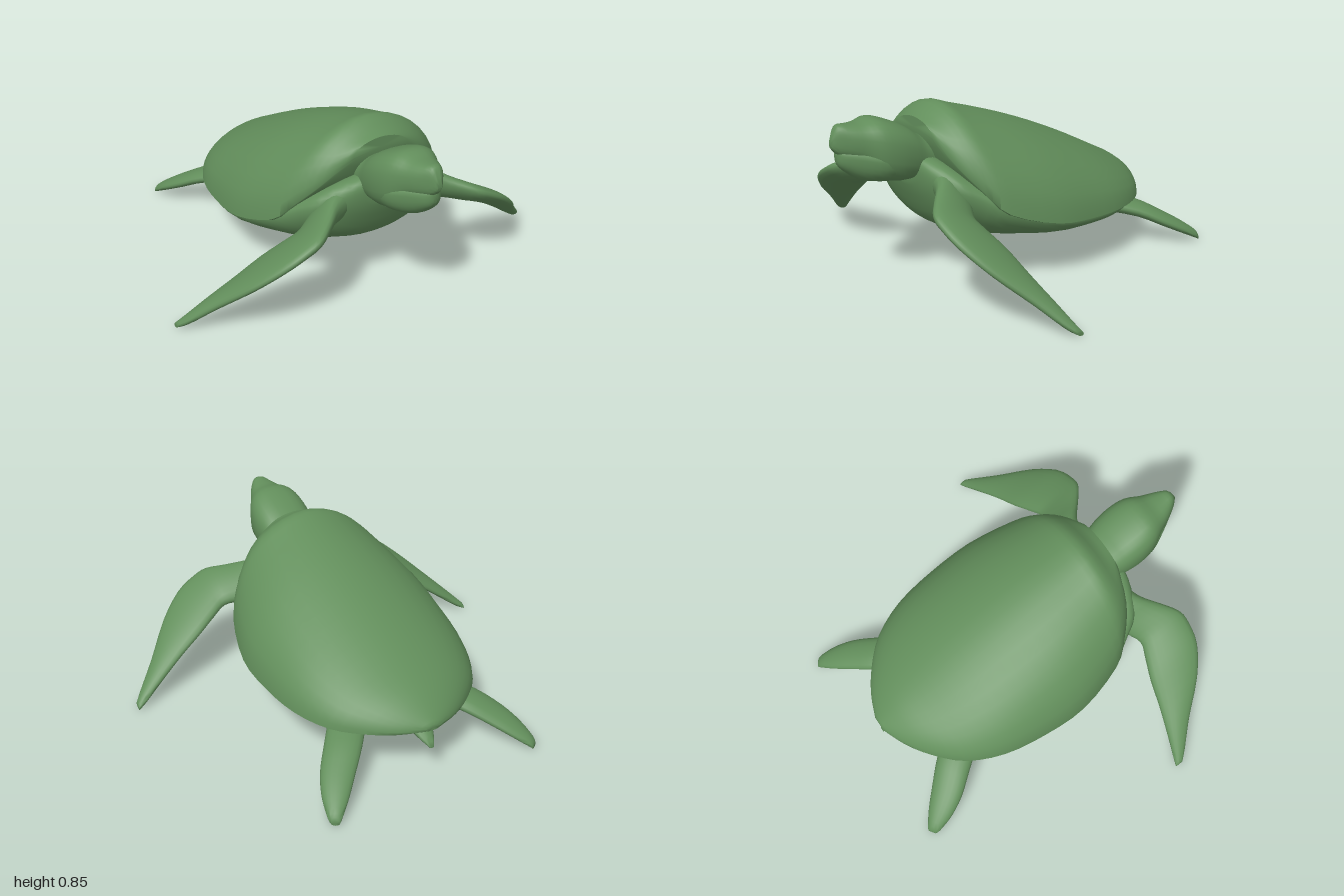
import * as THREE from 'three';
import { toCreasedNormals } from 'three/addons/utils/BufferGeometryUtils.js';

const skin = new THREE.MeshStandardMaterial({ color: 0x628e5b });
skin.name = 'sea green';

// Splines extra sections between the given rows
function refine(rows, steps) {
  const out = [];
  const at = (i) => rows[Math.min(Math.max(i, 0), rows.length - 1)];
  for (let i = 0; i < rows.length - 1; i++) {
    for (let s = 0; s < steps; s++) {
      const t = s / steps;
      out.push(rows[i].map((p1, k) => {
        const p0 = at(i - 1)[k], p2 = at(i + 1)[k], p3 = at(i + 2)[k];
        return p1 + 0.5 * t * (p2 - p0 + t * (2 * p0 - 5 * p1 + 4 * p2 - p3 + t * (3 * (p1 - p2) + p3 - p0)));
      }));
    }
  }
  out.push(rows[rows.length - 1]);
  return out;
}

// Closed skin over cross-sections; a row is [x, y, z, half width, height above, depth below]
function loft(name, rows, { side = [1, 0, 0], power = 1, crease = 1.0, mirror = 1, n = 28 } = {}) {
  const sections = refine(rows, 3);
  const pos = [], idx = [];
  const tri = (a, b, c) => (mirror > 0 ? idx.push(a, b, c) : idx.push(a, c, b));
  const bend = (v) => Math.sign(v) * Math.pow(Math.abs(v), power);
  for (const [x, y, z, w, up, down] of sections) {
    for (let j = 0; j < n; j++) {
      const t = (j / n) * Math.PI * 2;
      const c = bend(Math.cos(t)) * w;
      const s = j % (n / 2) === 0 ? 0 : bend(Math.sin(t));
      pos.push(mirror * (x + c * side[0]), y + c * side[1] + s * (s > 0 ? up : down), z + c * side[2]);
    }
  }
  const last = sections.length - 1;
  for (let i = 0; i < last; i++) {
    for (let j = 0; j < n; j++) {
      const a = i * n + j, b = i * n + (j + 1) % n;
      tri(a, a + n, b);
      tri(b, a + n, b + n);
    }
  }
  // End caps
  for (const i of [0, last]) {
    const [x, y, z, , up, down] = sections[i];
    const centre = pos.length / 3;
    pos.push(mirror * x, y + (up - down) / 2, z);
    for (let j = 0; j < n; j++) {
      const a = i * n + j, b = i * n + (j + 1) % n;
      if (i === 0) tri(centre, a, b); else tri(centre, b, a);
    }
  }
  const geo = new THREE.BufferGeometry();
  geo.setAttribute('position', new THREE.Float32BufferAttribute(pos, 3));
  geo.setIndex(idx);
  const mesh = new THREE.Mesh(toCreasedNormals(geo, crease), skin);
  mesh.name = name;
  return mesh;
}

export function createModel() {
  const turtle = new THREE.Group();
  turtle.name = 'seaTurtle';

  // Domed upper shell with a sharp rim
  turtle.add(loft('upperShell', [
    [0, 0.73, 0.485, 0.15, 0.07, 0.03],
    [0, 0.61, 0.44, 0.29, 0.205, 0.02],
    [0, 0.5, 0.365, 0.39, 0.358, 0.02],
    [0, 0.395, 0.27, 0.465, 0.435, 0.02],
    [0, 0.315, 0.03, 0.528, 0.437, 0.015],
    [0, 0.288, -0.2, 0.523, 0.374, 0.01],
    [0, 0.275, -0.42, 0.485, 0.287, 0.01],
    [0, 0.268, -0.6, 0.4, 0.202, 0.01],
    [0, 0.27, -0.72, 0.28, 0.137, 0.01],
    [0, 0.275, -0.8, 0.16, 0.075, 0.01],
    [0, 0.285, -0.85, 0.04, 0.022, 0.01],
  ], { n: 36, power: 1.07 }));

  // Chest, belly and shoulders under the shell
  turtle.add(loft('body', [
    [0, 0.58, 0.555, 0.12, 0.06, 0.08],
    [0, 0.55, 0.53, 0.22, 0.1, 0.12],
    [0, 0.51, 0.47, 0.33, 0.13, 0.2],
    [0, 0.47, 0.39, 0.385, 0.13, 0.22],
    [0, 0.4, 0.26, 0.455, 0.12, 0.195],
    [0, 0.315, 0.0, 0.52, 0.08, 0.145],
    [0, 0.283, -0.25, 0.51, 0.07, 0.12],
    [0, 0.272, -0.45, 0.46, 0.06, 0.107],
    [0, 0.27, -0.6, 0.37, 0.04, 0.07],
    [0, 0.272, -0.72, 0.23, 0.03, 0.03],
    [0, 0.278, -0.78, 0.13, 0.015, 0.01],
  ], { n: 36 }));

  // Head with hooked beak and boxy brow, tapering back into the neck
  turtle.add(loft('headAndNeck', [
    [0, 0.745, 0.932, 0.01, 0.025, 0.015],
    [0, 0.755, 0.9, 0.04, 0.075, 0.06],
    [0, 0.745, 0.85, 0.072, 0.085, 0.075],
    [0, 0.73, 0.79, 0.1, 0.098, 0.095],
    [0, 0.705, 0.72, 0.138, 0.135, 0.15],
    [0, 0.68, 0.64, 0.152, 0.135, 0.155],
    [0, 0.65, 0.56, 0.146, 0.125, 0.13],
    [0, 0.62, 0.49, 0.132, 0.105, 0.1],
    [0, 0.6, 0.4, 0.13, 0.09, 0.1],
  ], { power: 0.78 }));

  // Lower jaw, closed under the beak
  turtle.add(loft('lowerJaw', [
    [0, 0.685, 0.905, 0.015, 0.03, 0.025],
    [0, 0.68, 0.885, 0.045, 0.045, 0.055],
    [0, 0.67, 0.81, 0.092, 0.05, 0.105],
    [0, 0.65, 0.72, 0.134, 0.05, 0.112],
    [0, 0.64, 0.62, 0.135, 0.05, 0.112],
    [0, 0.62, 0.54, 0.1, 0.05, 0.08],
  ], { power: 0.85 }));

  // Short tail under the rear rim
  turtle.add(loft('tail', [
    [0, 0.255, -0.6, 0.09, 0.03, 0.04],
    [0, 0.24, -0.73, 0.06, 0.035, 0.035],
    [0, 0.213, -0.8, 0.04, 0.022, 0.022],
    [0, 0.18, -0.85, 0.012, 0.008, 0.008],
  ], { n: 12 }));

  for (const mirror of [1, -1]) {
    const label = mirror > 0 ? 'left' : 'right';

    // Long swept front flipper, broad at the elbow, its leading edge raised
    turtle.add(loft(label + 'FrontFlipper', [
      [0.14, 0.5, 0.41, 0.1, 0.1, 0.1],
      [0.26, 0.485, 0.46, 0.09, 0.085, 0.085],
      [0.35, 0.46, 0.515, 0.108, 0.06, 0.065],
      [0.43, 0.435, 0.565, 0.118, 0.05, 0.055],
      [0.5, 0.4, 0.56, 0.132, 0.045, 0.05],
      [0.6, 0.34, 0.535, 0.14, 0.042, 0.045],
      [0.72, 0.25, 0.485, 0.115, 0.038, 0.038],
      [0.85, 0.14, 0.403, 0.066, 0.033, 0.033],
      [0.95, 0.055, 0.345, 0.036, 0.024, 0.024],
      [0.995, 0.022, 0.316, 0.02, 0.012, 0.012],
    ], { side: [0, 0.35, 1], mirror, n: 20, crease: 1.3 }));

    // Small rear flipper
    turtle.add(loft(label + 'RearFlipper', [
      [0.24, 0.23, -0.5, 0.09, 0.04, 0.045],
      [0.355, 0.187, -0.65, 0.088, 0.04, 0.04],
      [0.44, 0.133, -0.75, 0.08, 0.036, 0.036],
      [0.5, 0.083, -0.835, 0.062, 0.03, 0.03],
      [0.542, 0.037, -0.905, 0.034, 0.021, 0.021],
      [0.55, 0.018, -0.923, 0.02, 0.012, 0.012],
    ], { side: [0.83, 0, 0.56], mirror, n: 20, crease: 1.3 }));
  }
  return turtle;
}
